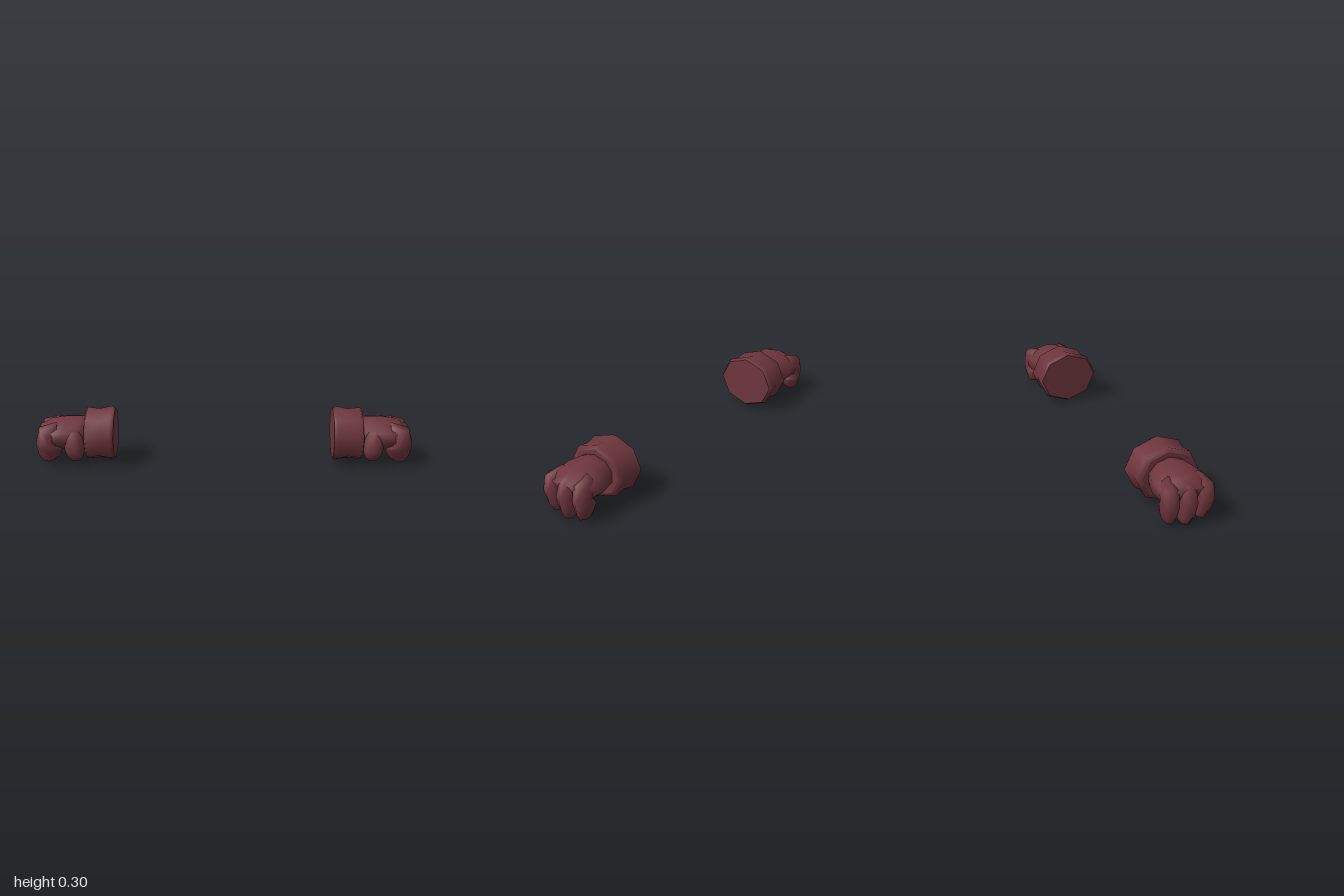
import * as THREE from 'three';

const fabric = new THREE.MeshStandardMaterial({ color: 0x6e363d });
fabric.name = 'maroon fabric';

// Skin over oval rings; each ring is [x, y, z, path angle in degrees, thickness radius, z radius].
// side = 1 or -1 mirrors the part in x. Ends are closed, flat or smoothly rounded.
function loft(name, rings, side, sides = 8, flatEnds = false) {
  const pos = [], idx = [];
  const tri = (a, b, c) => (side > 0 ? idx.push(a, b, c) : idx.push(a, c, b));
  const addRing = ([x, y, z, deg, rn, rz]) => {
    const a = THREE.MathUtils.degToRad(deg), start = pos.length / 3;
    for (let i = 0; i < sides; i++) {
      const t = (i / sides) * Math.PI * 2, n = rn * Math.cos(t);
      pos.push(side * (x - n * Math.sin(a)), y + n * Math.cos(a), z + rz * Math.sin(t));
    }
    return start;
  };
  const starts = rings.map(addRing);
  for (let k = 0; k + 1 < starts.length; k++) {
    for (let i = 0; i < sides; i++) {
      const j = (i + 1) % sides, p = starts[k], q = starts[k + 1];
      tri(p + i, p + j, q + j);
      tri(p + i, q + j, q + i);
    }
  }
  [0, rings.length - 1].forEach((k) => {
    const ring = flatEnds ? addRing(rings[k]) : starts[k];
    const centre = pos.length / 3;
    pos.push(side * rings[k][0], rings[k][1], rings[k][2]);
    for (let i = 0; i < sides; i++) {
      const j = (i + 1) % sides;
      if (k === 0) tri(centre, ring + j, ring + i);
      else tri(centre, ring + i, ring + j);
    }
  });
  const geo = new THREE.BufferGeometry();
  geo.setAttribute('position', new THREE.Float32BufferAttribute(pos, 3));
  geo.setIndex(idx);
  geo.computeVertexNormals();
  const mesh = new THREE.Mesh(geo, fabric);
  mesh.name = name;
  return mesh;
}

function createGlove(side) {
  const glove = new THREE.Group();
  glove.name = side > 0 ? 'leftGlove' : 'rightGlove';

  // Flared octagonal cuff
  glove.add(loft('cuff', [
    [0.575, 0.15, 0, 0, 0.136, 0.158],
    [0.595, 0.15, 0, 0, 0.147, 0.171],
    [0.655, 0.15, 0, 0, 0.134, 0.157],
    [0.72, 0.15, 0, 0, 0.142, 0.165],
    [0.731, 0.15, 0, 0, 0.122, 0.138],
  ], side, 8, true));

  // Back of the hand and palm
  glove.add(loft('palm', [
    [0.70, 0.155, 0, 0, 0.088, 0.10],
    [0.76, 0.155, 0, 0, 0.090, 0.118],
    [0.83, 0.155, 0.002, 0, 0.090, 0.140],
    [0.90, 0.153, 0, -10, 0.080, 0.135],
    [0.95, 0.145, 0, -20, 0.052, 0.112],
  ], side, 10));

  // Three fingers curling down, the outer two spread and slightly shorter
  [
    ['frontFinger', 0.092, 0.072, -0.012, 0.012],
    ['middleFinger', 0.0, -0.013, 0, 0],
    ['backFinger', -0.09, -0.09, -0.012, 0.012],
  ].forEach(([name, z, tipZ, dx, dy]) => {
    const mid = (z + tipZ) / 2;
    glove.add(loft(name, [
      [0.87, 0.165, z * 0.85, -5, 0.066, 0.042],
      [0.925, 0.155, z, -40, 0.066, 0.048],
      [0.935 + dx, 0.105, z, -80, 0.066, 0.049],
      [0.924 + dx, 0.058 + dy, mid, -105, 0.066, 0.042],
      [0.922 + dx, 0.020 + dy, tipZ, -108, 0.048, 0.031],
      [0.922 + dx, 0.008 + dy, tipZ, -108, 0.022, 0.018],
    ], side));
  });

  // Thumb tucked along the front of the palm
  glove.add(loft('thumb', [
    [0.785, 0.185, 0.095, -90, 0.035, 0.032],
    [0.785, 0.135, 0.112, -90, 0.050, 0.040],
    [0.782, 0.085, 0.116, -88, 0.052, 0.041],
    [0.782, 0.052, 0.110, -86, 0.043, 0.036],
    [0.782, 0.031, 0.104, -86, 0.022, 0.018],
  ], side));
  return glove;
}

export function createModel() {
  const model = new THREE.Group();
  model.name = 'gloves';
  [1, -1].forEach((side) => model.add(createGlove(side)));
  return model;
}
